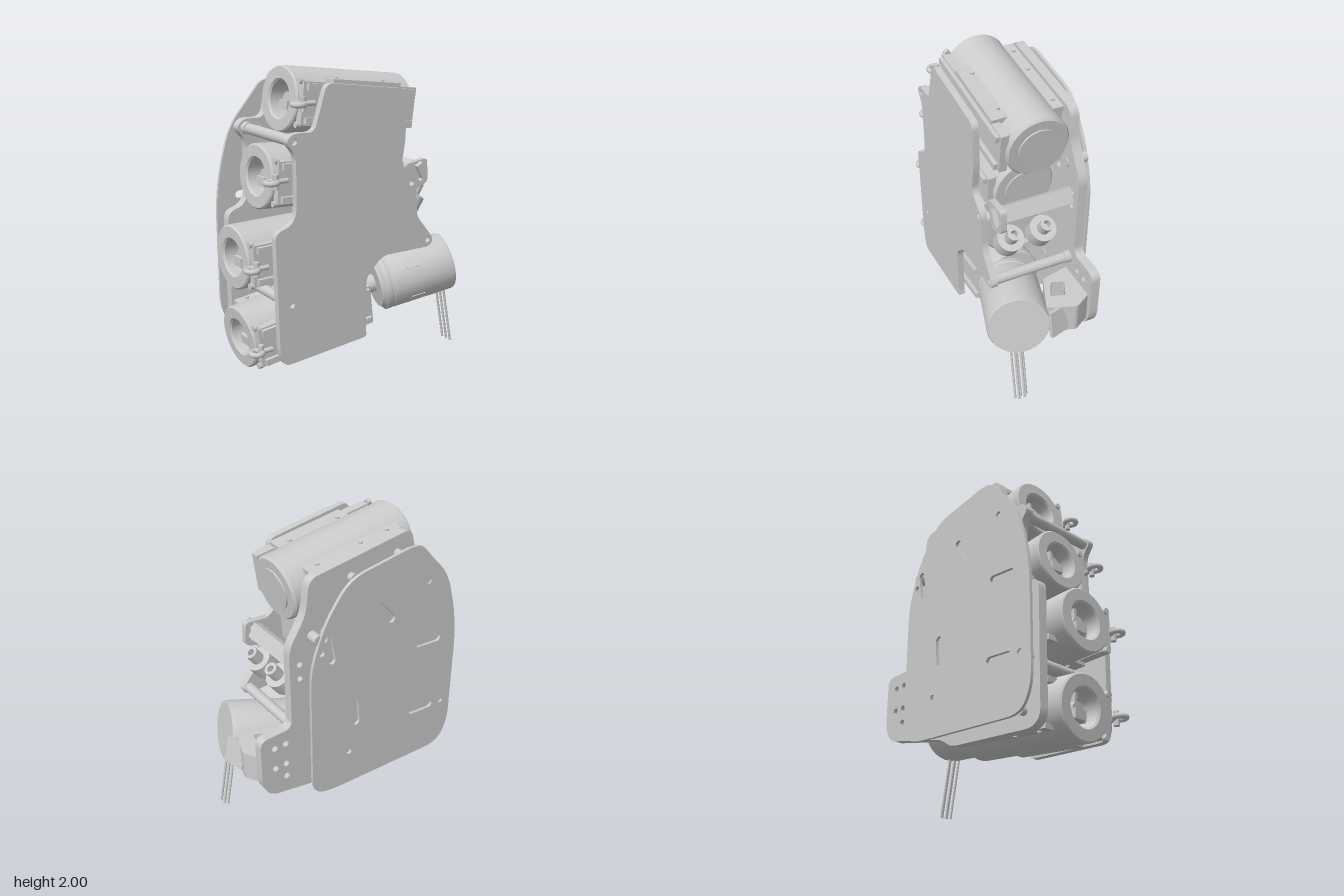
import * as THREE from 'three';
import { toCreasedNormals } from 'three/addons/utils/BufferGeometryUtils.js';

const grey = new THREE.MeshStandardMaterial({ color: 0xcccccc, side: THREE.DoubleSide });

function add(parent, name, geo, x = 0, y = 0, z = 0) {
  const m = new THREE.Mesh(geo, grey);
  m.name = name;
  m.position.set(x, y, z);
  parent.add(m);
  return m;
}
const box = (w, h, d) => new THREE.BoxGeometry(w, h, d);
const cyl = (r, h, n = 20) => new THREE.CylinderGeometry(r, r, h, n);
const cylX = (r, h, n) => cyl(r, h, n).rotateZ(Math.PI / 2);
const cylZ = (r, h, n) => cyl(r, h, n).rotateX(Math.PI / 2);

// Closed outline with each corner rounded by at most r
function rounded(points, r) {
  const P = points.map(([a, b]) => new THREE.Vector2(a, b));
  const s = new THREE.Shape();
  P.forEach((p, i) => {
    const toward = (q) => {
      const v = q.clone().sub(p);
      return p.clone().addScaledVector(v.clone().normalize(), Math.min(r, v.length() * 0.45));
    };
    const a = toward(P[(i + P.length - 1) % P.length]);
    const b = toward(P[(i + 1) % P.length]);
    if (i) s.lineTo(a.x, a.y); else s.moveTo(a.x, a.y);
    s.quadraticCurveTo(p.x, p.y, b.x, b.y);
  });
  s.closePath();
  return s;
}

// Upright plate from a (z, y) outline, with round holes [z, y, r] and slots [z, y, length, angle]
function plate(parent, name, outline, x0, x1, radius, holes = [], slots = []) {
  const s = rounded(outline.map(([z, y]) => [-z, y]), radius);
  holes.forEach(([z, y, r]) => s.holes.push(new THREE.Path().absarc(-z, y, r, 0, Math.PI * 2, true)));
  slots.forEach(([z, y, len, a]) => {
    const h = len / 2, dx = Math.cos(a) * h, dy = Math.sin(a) * h;
    const p = new THREE.Path();
    p.absarc(-z + dx, y + dy, 0.025, a - Math.PI / 2, a + Math.PI / 2, false);
    p.absarc(-z - dx, y - dy, 0.025, a + Math.PI / 2, a + Math.PI * 1.5, false);
    p.closePath();
    s.holes.push(p);
  });
  const g = new THREE.ExtrudeGeometry(s, { depth: x1 - x0, bevelEnabled: false, curveSegments: 8 });
  return add(parent, name, toCreasedNormals(g.rotateY(Math.PI / 2), 0.6), x0);
}

// Open-fronted barrel with holder, rails and eyelet; origin at the centre of its front face
function barrel(parent, y, z, degrees, railSides, eye) {
  const g = new THREE.Group();
  g.name = 'barrelUnit';
  g.position.set(-0.045, y, z);
  g.rotation.x = -THREE.MathUtils.degToRad(degrees);
  parent.add(g);
  const profile = [[0, -0.91], [0.13, -0.91], [0.13, -0.9], [0.19, -0.9], [0.203, -0.885], [0.203, -0.01],
    [0.193, 0], [0.125, 0], [0.112, -0.012], [0.112, -0.16], [0, -0.16]].map(([r, h]) => new THREE.Vector2(r, h));
  add(g, 'barrel', toCreasedNormals(new THREE.LatheGeometry(profile, 40).rotateX(Math.PI / 2), 0.5));
  // inner mechanism
  add(g, 'innerHub', cylZ(0.045, 0.1, 16), 0, 0, -0.11);
  add(g, 'innerBlock', box(0.09, 0.06, 0.07), 0, -0.035, -0.07);
  for (let i = 0; i < 3; i++) {
    const a = i * Math.PI * 2 / 3 + Math.PI / 2;
    add(g, 'innerVane', box(0.09, 0.02, 0.06), Math.cos(a) * 0.06, Math.sin(a) * 0.06, -0.11).rotation.z = a;
  }
  // rails bolted along the barrel
  railSides.forEach((s) => {
    add(g, 'innerRail', box(0.12, 0.035, 0.52), 0.175, s * 0.135, -0.49);
    add(g, 'outerRail', box(0.07, 0.035, 0.68), -0.175, s * 0.135, -0.44);
    [-0.3, -0.66].forEach((bz) => add(g, 'railBolt', cyl(0.014, 0.05, 10), 0.155, s * 0.138, bz));
    [-0.18, -0.38, -0.7].forEach((bz) => add(g, 'railBolt', cyl(0.014, 0.05, 10), -0.175, s * 0.138, bz));
  });
  // side holder
  add(g, 'holder', box(0.05, 0.26, 0.86), 0.21, 0, -0.45);
  [-0.1, 0.1].forEach((h) => add(g, 'holderRib', box(0.09, 0.04, 0.82), 0.215, h, -0.45));
  [-0.13, 0.13].forEach((h) => add(g, 'holderBolt', cylZ(0.02, 0.03, 10), 0.2, h, -0.02));
  add(g, 'mountBlock', box(0.06, 0.2, 0.6), -0.205, 0, -0.45);
  // bolts on the far side of the frame plate
  [[-0.06, -0.2], [0.05, -0.2], [-0.05, -0.55], [0.05, -0.55]].forEach(([h, bz]) =>
    add(g, 'frameBolt', cylX(0.028, 0.035, 12), -0.3, h, bz));
  // eyelet
  const e = new THREE.Group();
  e.name = 'eyelet';
  e.position.set(0.22, eye[1], eye[0]);
  parent.add(e);
  add(e, 'eyeletRing', new THREE.TorusGeometry(0.036, 0.017, 10, 20).rotateX(Math.PI / 2));
  add(e, 'eyeletPin', cyl(0.018, 0.09, 10), 0, 0, -0.03);
  add(e, 'eyeletStem', cylZ(0.016, 0.08, 10), 0, 0, -0.07);
}

export function createModel() {
  const model = new THREE.Group();
  model.name = 'barrelAssembly';

  // four fanned barrels
  barrel(model, 1.8, 0.425, 7, [1, -1], [0.45, 1.8]);
  barrel(model, 1.34, 0.6, 3.5, [-1], [0.645, 1.36]);
  barrel(model, 0.855, 0.78, 0, [-1], [0.79, 0.85]);
  barrel(model, 0.318, 0.75, -6.4, [1, -1], [0.775, 0.315]);

  // left side plate
  plate(model, 'leftPlate', [[0.3, 1.92], [-0.3, 1.84], [-0.3, 1.52], [-0.27, 1.35], [-0.4, 1.26], [-0.41, 1],
    [-0.56, 0.82], [-0.53, 0.77], [-0.13, 0.78], [0, 0.66], [0, 0.29], [-0.01, 0.25], [0.62, 0.21], [0.65, 0.3],
    [0.67, 1.07], [0.56, 1.1], [0.52, 1.17], [0.52, 1.52], [0.59, 1.6], [0.54, 1.65], [0.39, 1.64]], 0.25, 0.293, 0.05,
    [[0.53, 1.6, 0.02], [0.56, 0.6, 0.02], [-0.36, 1.23, 0.02], [-0.51, 0.82, 0.02]]);

  // right frame plate with a tail for the motor
  plate(model, 'rightFrame', [[0.33, 1.95], [-0.42, 1.86], [-0.45, 1.64], [-0.57, 1.45], [-0.57, 0.88],
    [-0.8, 0.88], [-0.8, 0.52], [-0.74, 0.42], [-0.2, 0.3], [-0.1, 0.23], [0.6, 0.17], [0.67, 0.22],
    [0.68, 1.07], [0.57, 1.1], [0.53, 1.17], [0.53, 1.52], [0.6, 1.6], [0.55, 1.66], [0.4, 1.65]], -0.327, -0.267, 0.06,
    [[-0.7, 0.78, 0.022], [-0.62, 0.78, 0.022], [-0.7, 0.62, 0.022], [-0.62, 0.62, 0.022], [-0.62, 0.52, 0.022],
      [-0.5, 1.32, 0.02], [-0.5, 1.22, 0.02]], [[-0.32, 1.46, 0.08, 1.57]]);

  // thin outer cover
  plate(model, 'outerCover', [[0.33, 1.89], [0.42, 1.78], [0.58, 1.6], [0.66, 1.32], [0.69, 1.1], [0.69, 0.38],
    [0.6, 0.23], [-0.36, 0.3], [-0.48, 0.36], [-0.48, 1.3], [-0.38, 1.58], [-0.2, 1.82]], -0.412, -0.392, 0.12,
    [[0.42, 1.6, 0.02], [-0.19, 0.55, 0.02], [0.6, 0.6, 0.02], [-0.4, 1.4, 0.02]],
    [[0.08, 1.5, 0.16, 0.9], [0.45, 1.15, 0.16, 0.1], [0.42, 0.62, 0.16, 0.1], [-0.14, 0.85, 0.16, 1.5], [-0.34, 1.4, 0.16, 1.4]]);
  [[-0.41, 1.49], [-0.19, 0.59], [0.42, 1.58], [0.6, 0.59]].forEach(([z, y]) =>
    add(model, 'coverStandoff', cylX(0.033, 0.14, 16), -0.33, y, z));

  // cross rods between the plates
  [[0.53, 1.6], [0.56, 0.6], [-0.51, 0.82]].forEach(([z, y]) => {
    add(model, 'crossRod', cylX(0.034, 0.53, 20), -0.005, y, z);
    add(model, 'rodCollar', cylX(0.04, 0.05, 20), -0.25, y, z);
  });

  // rear bridge carrying two knobs
  add(model, 'rearBridge', box(0.53, 0.1, 0.05), -0.005, 1.29, -0.48).rotation.x = 0.5;
  plate(model, 'bridgeCheek', [[-0.36, 1.34], [-0.54, 1.36], [-0.55, 1.2], [-0.42, 1.15]], 0.19, 0.23, 0.03,
    [[-0.49, 1.31, 0.018], [-0.49, 1.23, 0.018]]);
  [-0.08, 0.14].forEach((x) => {
    const k = new THREE.Group();
    k.name = 'rearKnob';
    k.position.set(x, 1.06, -0.465);
    k.rotation.x = -0.62;
    model.add(k);
    add(k, 'knobBody', cyl(0.085, 0.11, 24));
    add(k, 'knobStem', toCreasedNormals(new THREE.LatheGeometry([[0.042, 0.05], [0.042, 0.14], [0.022, 0.14],
      [0.022, 0.08], [0, 0.08]].map(([r, h]) => new THREE.Vector2(r, h)), 20), 0.5));
    add(k, 'knobPost', cyl(0.03, 0.14, 16), 0, -0.1, 0);
  });

  // motor, pointing back and slightly up and outward
  const motor = new THREE.Group();
  motor.name = 'motor';
  motor.position.set(0.05, 0.5, -0.28);
  motor.lookAt(0.2, 0.6, -0.74);
  model.add(motor);
  const shell = [[0, -0.03], [0.17, -0.03], [0.185, -0.01], [0.2, 0], [0.2, 0.035], [0.195, 0.04], [0.195, 0.05],
    [0.2, 0.055], [0.2, 0.48], [0.192, 0.5], [0, 0.5]].map(([r, h]) => new THREE.Vector2(r, h));
  add(motor, 'motorShell', toCreasedNormals(new THREE.LatheGeometry(shell, 32).rotateX(Math.PI / 2), 0.5));
  add(motor, 'motorShaft', cylZ(0.06, 0.12, 20), 0, 0, -0.07);
  [0.65, -0.7].forEach((a) => {
    add(motor, 'motorTab', box(0.012, 0.055, 0.1), -Math.cos(a) * 0.197, Math.sin(a) * 0.197, 0.22).rotation.z = -a;
  });

  // bracket joining the motor to the frame tail
  const b = rounded([[-0.28, 0.76], [-0.16, 0.83], [0.02, 0.76], [-0.08, 0.52], [-0.28, 0.48]], 0.02);
  b.holes.push(rounded([[-0.14, 0.71], [-0.05, 0.68], [-0.11, 0.57], [-0.19, 0.6]], 0.01));
  add(model, 'motorBracket', new THREE.ExtrudeGeometry(b, { depth: 0.2, bevelEnabled: false }).rotateX(-Math.PI / 2), 0, 0.5, 0);
  const strap = add(model, 'motorStrap', box(0.14, 0.18, 0.025), -0.04, 0.61, -0.81);
  strap.rotation.set(0.2, 0.3, 0);

  // motor wires
  for (let i = 0; i < 5; i++) {
    const x = 0.162 + i * 0.02, dz = (i % 2) * 0.016;
    const path = new THREE.LineCurve3(new THREE.Vector3(x, 0.43, -0.71 - dz), new THREE.Vector3(x, 0.002, -0.795 - dz));
    add(model, 'wire', new THREE.TubeGeometry(path, 1, 0.008, 8));
  }
  return model;
}
